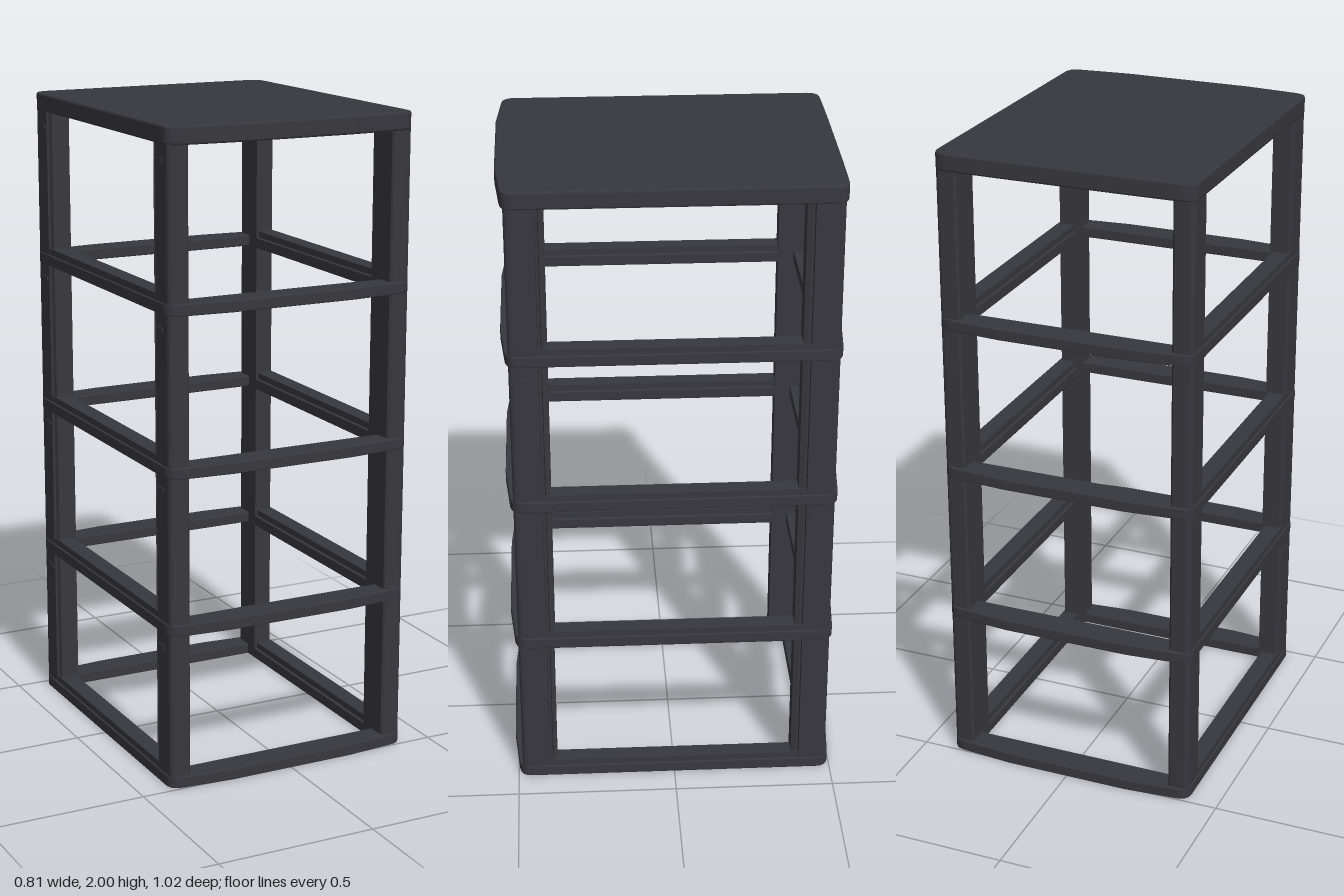
import * as THREE from 'three';

const plastic = new THREE.MeshStandardMaterial({ color: 0x37373e });
plastic.name = 'charcoal plastic';

// Rounded rectangle whose front and back edges bow gently outwards.
// Shape y becomes -z once the extrusion is laid flat.
function bowedOutline(front, back) {
  const w = 0.405, r = 0.04, f = 0.497;
  const s = new THREE.Shape();
  s.moveTo(w, -f + r);
  s.lineTo(w, f - r);
  s.quadraticCurveTo(w, f - 0.004, w - r, f);
  s.lineTo(0.2, back);
  s.lineTo(-0.2, back);
  s.lineTo(-w + r, f);
  s.quadraticCurveTo(-w, f - 0.004, -w, f - r);
  s.lineTo(-w, -f + r);
  s.quadraticCurveTo(-w, -f + 0.004, -w + r, -f);
  s.lineTo(-0.2, -front);
  s.lineTo(0.2, -front);
  s.lineTo(w - r, -f);
  s.quadraticCurveTo(w, -f + 0.004, w, -f + r);
  return s;
}

// Extrude upwards from y = 0, with small softened edges
function slab(shape, height, bevel) {
  const g = new THREE.ExtrudeGeometry(shape, {
    depth: height - 2 * bevel, bevelEnabled: bevel > 0, bevelThickness: bevel,
    bevelSize: bevel, bevelOffset: -bevel, bevelSegments: 2, curveSegments: 6,
  });
  g.translate(0, 0, bevel);
  g.rotateX(-Math.PI / 2);
  return g;
}

// Post section: rounded corners and a shallow groove in the outer face
function postSection() {
  const x0 = 0.335, x1 = 0.401, z0 = 0.375, z1 = 0.487, r = 0.018;
  const s = new THREE.Shape();
  s.moveTo(x0, -z1 + 0.006);
  s.lineTo(x0 + 0.006, -z1);
  s.lineTo(x1 - r, -z1);
  s.quadraticCurveTo(x1, -z1, x1, -z1 + r);
  s.lineTo(x1, -0.4);
  s.lineTo(x1 - 0.01, -0.398);
  s.lineTo(x1 - 0.01, -0.39);
  s.lineTo(x1 - 0.003, -0.388);
  s.lineTo(x1 - 0.008, -z0);
  s.lineTo(x0, -z0);
  return s;
}

export function createModel() {
  const model = new THREE.Group();
  model.name = 'shelfTower';
  const add = (name, geometry, y = 0) => {
    const m = new THREE.Mesh(geometry, plastic);
    m.name = name;
    m.position.y = y;
    model.add(m);
    return m;
  };

  // Closed top panel
  add('topPanel', slab(bowedOutline(0.511, 0.499), 0.055, 0.006), 1.945);

  // Open tier frames with taller side rails
  const frame = bowedOutline(0.511, 0.511);
  const hole = new THREE.Path();
  hole.moveTo(-0.335, -0.425);
  hole.lineTo(-0.335, 0.425);
  hole.lineTo(0.335, 0.425);
  hole.lineTo(0.335, -0.425);
  hole.closePath();
  frame.holes.push(hole);
  const frameGeo = slab(frame, 0.035, 0.003);
  const railGeo = new THREE.BoxGeometry(0.055, 0.04, 0.8);
  const tiers = [0, 0.485, 0.97, 1.455];
  for (const y of tiers) {
    add('tierFrame', frameGeo, y);
    for (const side of [-1, 1]) add('sideRail', railGeo, y + 0.035).position.x = side * 0.372;
  }

  // Four corner posts, with a small latch tab below each tier
  const postGeo = slab(postSection(), 1.94, 0);
  postGeo.translate(0, 0.01, 0);
  const tabGeo = new THREE.BoxGeometry(0.012, 0.012, 0.04);
  for (const sx of [-1, 1]) {
    for (const sz of [-1, 1]) {
      add('cornerPost', postGeo).scale.set(sx, 1, sz);
      for (const y of [0.44, 0.93, 1.41, 1.9]) {
        add('latchTab', tabGeo).position.set(sx * 0.399, y, sz * 0.43);
      }
    }
  }
  return model;
}
